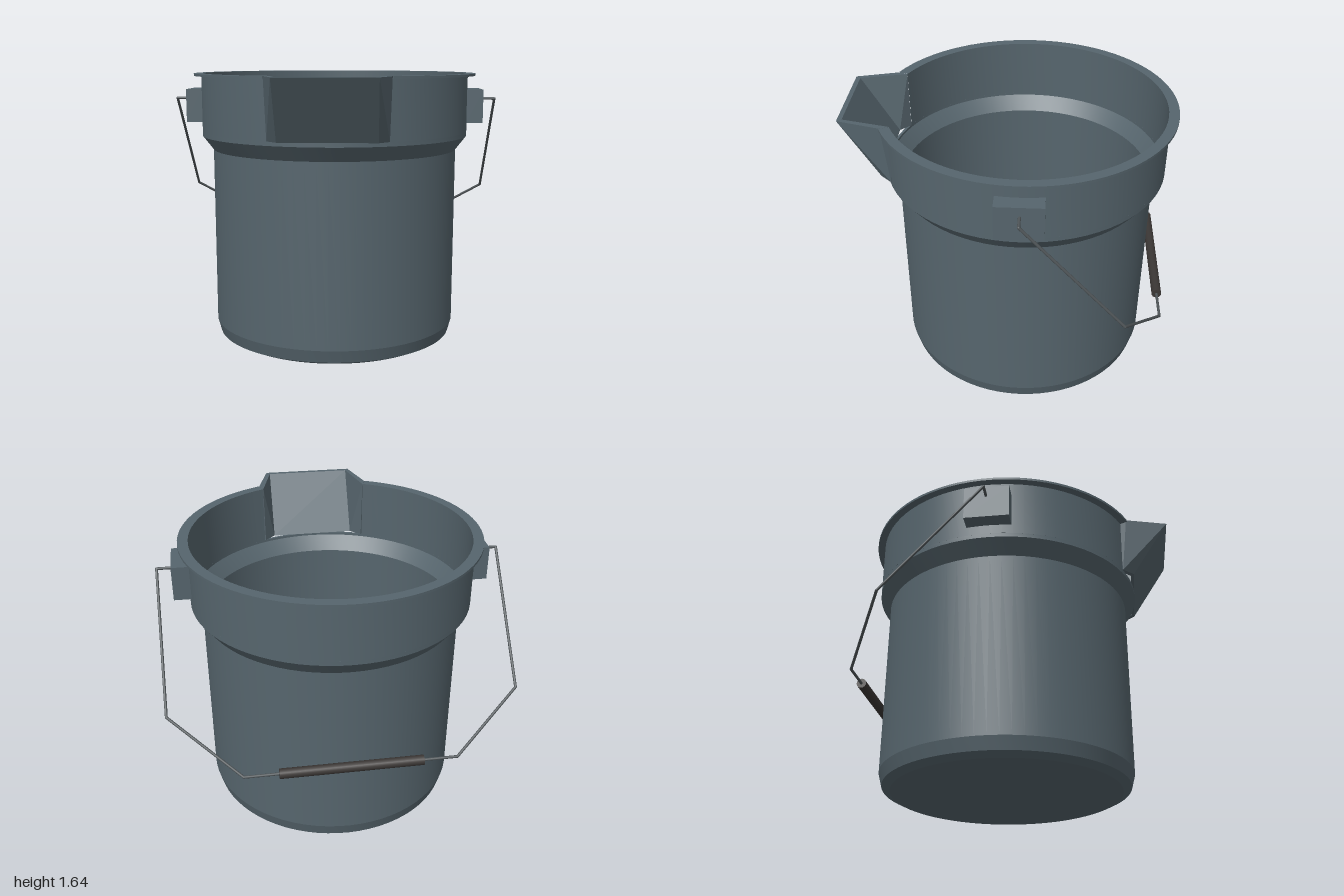
import * as THREE from 'three';
import { toCreasedNormals } from 'three/addons/utils/BufferGeometryUtils.js';
import { ConvexGeometry } from 'three/addons/geometries/ConvexGeometry.js';

const CENTRE_Z = -0.087; // axis of the bucket; the spout reaches forward
const OPENING = 0.414;   // half angle of the gap in the collar for the spout

const material = (name, color) => {
  const m = new THREE.MeshStandardMaterial({ color });
  m.name = name;
  return m;
};

const v = (x, y, z) => new THREE.Vector3(x, y, z);

export function createModel() {
  const plastic = material('slate plastic', 0x56656d);
  const metal = material('wire metal', 0x505659);
  const rubber = material('dark grip', 0x3b3735);

  const model = new THREE.Group();
  model.name = 'bucket';

  const add = (name, geometry, mat, parent = model) => {
    const mesh = new THREE.Mesh(geometry, mat);
    mesh.name = name;
    parent.add(mesh);
    return mesh;
  };

  const lathe = (profile, start = 0, length = Math.PI * 2) =>
    toCreasedNormals(new THREE.LatheGeometry(
      profile.map(([r, y]) => new THREE.Vector2(r, y)), 72, start, length), 0.2);

  // Body: outside from the base up to the step, then back down the inside
  add('body', lathe([
    [0, 0], [0.685, 0], [0.735, 0.025], [0.755, 0.1], [0.755, 1.18],
    [0.82, 1.265], [0.82, 1.29], [0.805, 1.29], [0.805, 1.275],
    [0.738, 1.19], [0.738, 0.1], [0.72, 0.04], [0.68, 0.02], [0, 0.02],
  ]), plastic).position.z = CENTRE_Z;

  // Collar with flat rim, open at the front
  add('collar', lathe([
    [0.805, 1.29], [0.82, 1.29], [0.82, 1.628], [0.865, 1.628],
    [0.865, 1.642], [0.805, 1.642], [0.805, 1.29],
  ], OPENING, Math.PI * 2 - 2 * OPENING), plastic).position.z = CENTRE_Z;

  // Pouring spout: sloping front panel and two side walls
  const spout = new THREE.Group();
  spout.name = 'spout';
  model.add(spout);
  const panel = [];
  for (const s of [-1, 1]) {
    panel.push(
      v(s * 0.275, 1.29, 0.73), v(s * 0.275, 1.642, 0.952),
      v(s * 0.255, 1.29, 0.712), v(s * 0.255, 1.642, 0.925));
    add(s > 0 ? 'leftSpoutWall' : 'rightSpoutWall', new ConvexGeometry([
      v(s * 0.335, 1.29, 0.665), v(s * 0.345, 1.642, 0.7),
      v(s * 0.275, 1.642, 0.952), v(s * 0.275, 1.29, 0.73),
      v(s * 0.318, 1.29, 0.65), v(s * 0.322, 1.642, 0.65),
      v(s * 0.255, 1.642, 0.925), v(s * 0.255, 1.29, 0.712),
    ]), plastic, spout);
  }
  add('spoutPanel', new ConvexGeometry(panel), plastic, spout);

  // Handle mounts
  for (const s of [-1, 1]) {
    add(s > 0 ? 'leftMount' : 'rightMount',
      new THREE.BoxGeometry(0.1, 0.2, 0.26), plastic)
      .position.set(s * 0.858, 1.445, CENTRE_Z);
  }

  // Wire handle: straight rods joined at the bends
  const handle = new THREE.Group();
  handle.name = 'handle';
  model.add(handle);
  const rod = (name, a, b, radius, mat) => {
    const mesh = add(name,
      new THREE.CylinderGeometry(radius, radius, a.distanceTo(b), 16), mat, handle);
    mesh.position.copy(a).lerp(b, 0.5);
    mesh.quaternion.setFromUnitVectors(v(0, 1, 0), b.clone().sub(a).normalize());
  };
  const half = [
    [0.88, 1.486, -0.09], [0.992, 1.486, -0.09],
    [0.992, 0.86, -0.655], [0.6, 0.59, -0.896],
  ];
  const path = [
    ...half.map(([x, y, z]) => v(-x, y, z)),
    ...half.map(([x, y, z]) => v(x, y, z)).reverse(),
  ];
  for (let i = 1; i < path.length; i++) {
    rod('handleWire', path[i - 1], path[i], 0.008, metal);
    if (i < path.length - 1) {
      add('handleBend', new THREE.SphereGeometry(0.008, 12, 8), metal, handle)
        .position.copy(path[i]);
    }
  }
  rod('grip', v(-0.405, 0.59, -0.896), v(0.405, 0.59, -0.896), 0.029, rubber);

  return model;
}
